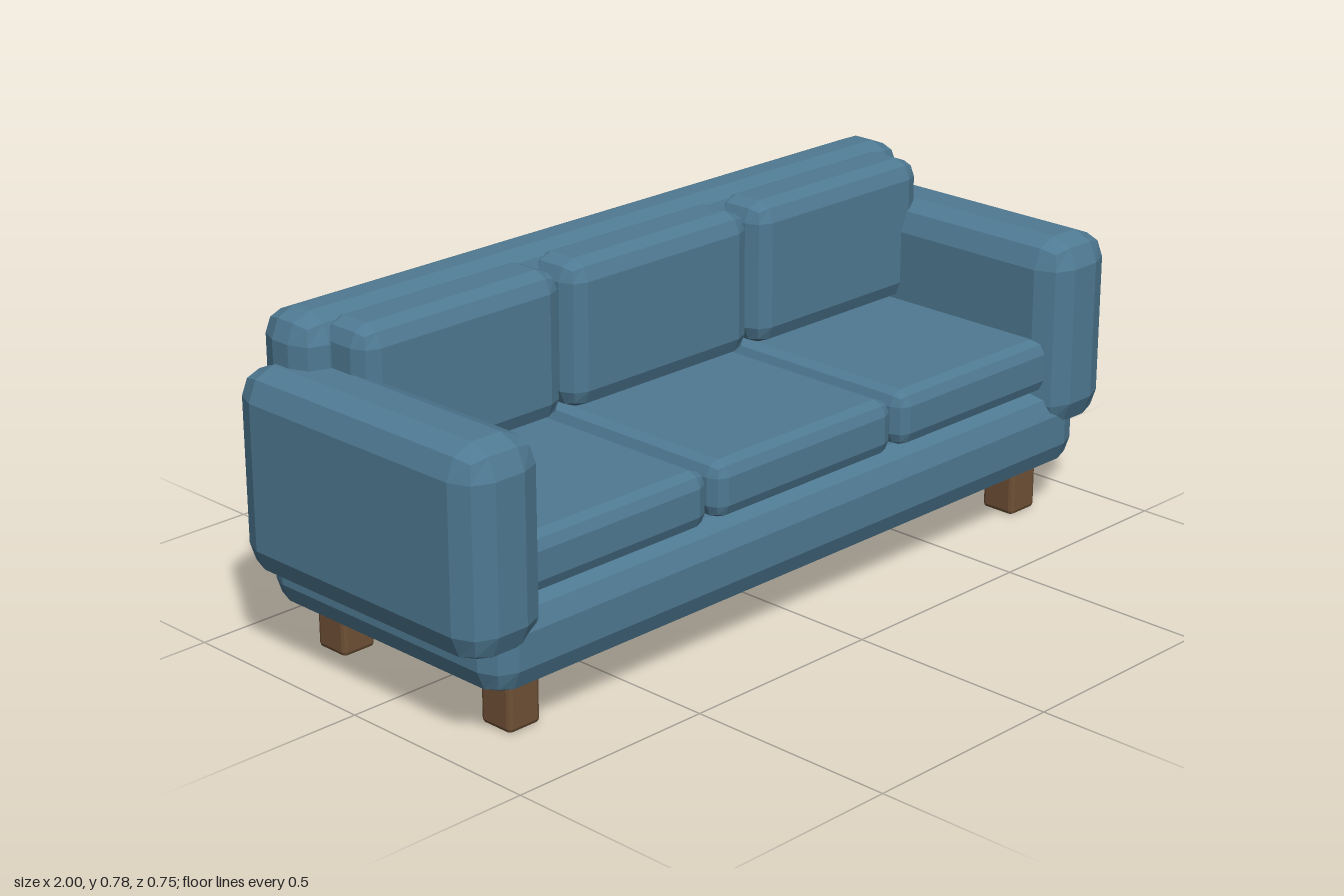
import * as THREE from 'three';
import { RoundedBoxGeometry } from 'three/addons/geometries/RoundedBoxGeometry.js';

export function createModel() {
  const model = new THREE.Group();
  model.name = 'sofa';

  const fabric = new THREE.MeshStandardMaterial({ color: 0x4f7a93 });
  fabric.name = 'blue fabric';
  const wood = new THREE.MeshStandardMaterial({ color: 0x6f5136 });
  wood.name = 'brown wood';

  // Box with faceted two-step bevels, given by its [min, max] range on each axis
  function block(name, material, [x0, x1], [y0, y1], [z0, z1], bevel) {
    const geometry = new RoundedBoxGeometry(x1 - x0, y1 - y0, z1 - z0, 1, bevel);
    geometry.computeVertexNormals(); // unindexed, so this gives flat facets
    const mesh = new THREE.Mesh(geometry, material);
    mesh.name = name;
    mesh.position.set((x0 + x1) / 2, (y0 + y1) / 2, (z0 + z1) / 2);
    model.add(mesh);
  }

  // Frame
  block('base', fabric, [-0.925, 0.925], [0.11, 0.307], [-0.375, 0.357], 0.06);
  block('backrest', fabric, [-0.925, 0.925], [0.2, 0.781], [-0.37, -0.2], 0.06);

  // Arms
  block('leftArm', fabric, [0.79, 1], [0.207, 0.67], [-0.367, 0.375], 0.067);
  block('rightArm', fabric, [-1, -0.79], [0.207, 0.67], [-0.367, 0.375], 0.067);

  // Three seat cushions and three back cushions
  ['right', 'middle', 'left'].forEach((side, i) => {
    const x = (i - 1) * 0.58;
    const span = [x - 0.28, x + 0.28];
    block(side + 'SeatCushion', fabric, span, [0.305, 0.435], [-0.24, 0.338], 0.033);
    block(side + 'BackCushion', fabric, span, [0.432, 0.772], [-0.255, -0.095], 0.045);
  });

  // Legs
  for (const [side, x] of [['left', 0.797], ['right', -0.797]]) {
    for (const [end, z] of [['Front', 0.252], ['Back', -0.267]]) {
      block(side + end + 'Leg', wood, [x - 0.043, x + 0.043], [0, 0.112], [z - 0.044, z + 0.044], 0.01);
    }
  }

  return model;
}
